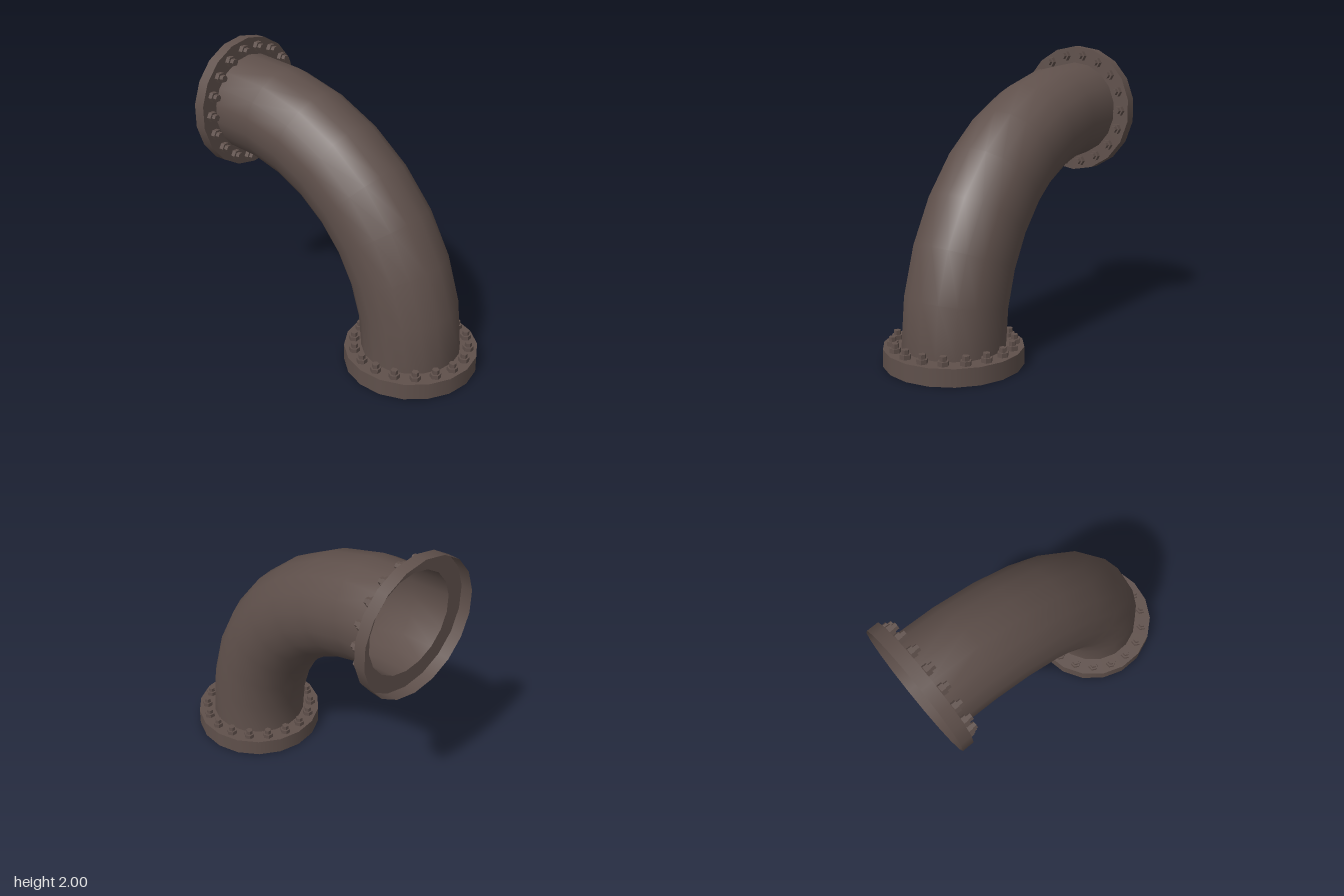
import * as THREE from 'three';

const SIDES = 18;
const PIPE_R = 0.337, FLANGE_R = 0.455, BOLT_RING_R = 0.39;
const BEND_R = 1.428;
const BASE_H = 0.115, END_H = 0.08;

export function createModel() {
  const iron = new THREE.MeshStandardMaterial({ color: 0x5f504b, side: THREE.DoubleSide });
  iron.name = 'dark brown iron';

  const add = (parent, name, geometry) => {
    const mesh = new THREE.Mesh(geometry, iron);
    mesh.name = name;
    parent.add(mesh);
    return mesh;
  };

  // Six-sided bolt pieces, with a corner pointing along x
  const hex = (r, h) => new THREE.CylinderGeometry(r, r, h, 6, 1, false, Math.PI / 2).toNonIndexed();
  const nutGeo = hex(0.037, 0.032);
  const tipGeo = hex(0.024, 0.03);
  nutGeo.computeVertexNormals();
  tipGeo.computeVertexNormals();

  // Hollow flange along +y: outer wall, bolted plate on the inner side, ring of bolts
  function makeFlange(name, height, boltBase) {
    const flange = new THREE.Group();
    flange.name = name;
    add(flange, 'flangeWall', new THREE.CylinderGeometry(FLANGE_R, FLANGE_R, height, SIDES, 1, true))
      .position.y = height / 2;
    const plate = add(flange, 'flangePlate',
      new THREE.RingGeometry(PIPE_R, FLANGE_R, SIDES, 1, Math.PI / 2));
    plate.rotation.x = -Math.PI / 2;
    plate.position.y = height;
    for (let i = 0; i < SIDES; i++) {
      const a = (i / SIDES) * Math.PI * 2;
      const bolt = new THREE.Group();
      bolt.name = 'bolt';
      add(bolt, 'boltNut', nutGeo).position.y = 0.016;
      add(bolt, 'boltTip', tipGeo).position.y = 0.046;
      bolt.position.set(Math.cos(a) * BOLT_RING_R, height + boltBase, Math.sin(a) * BOLT_RING_R);
      flange.add(bolt);
    }
    return flange;
  }

  const model = new THREE.Group();
  model.name = 'pipeElbow';

  // Quarter-turn pipe, open at both ends
  const pipe = add(model, 'bentPipe',
    new THREE.TorusGeometry(BEND_R, PIPE_R, SIDES, 8, Math.PI / 2));
  pipe.rotation.y = -Math.PI / 2;
  pipe.position.set(0, BASE_H, -0.9);

  // Flange on the ground
  const base = makeFlange('baseFlange', BASE_H, -0.003);
  base.position.z = BEND_R - 0.9;
  model.add(base);

  // Flange at the back, its bolts facing forward
  const end = makeFlange('backFlange', END_H, 0.007);
  end.rotation.x = Math.PI / 2;
  end.position.set(0, BASE_H + BEND_R, -0.9 - END_H);
  model.add(end);

  return model;
}
